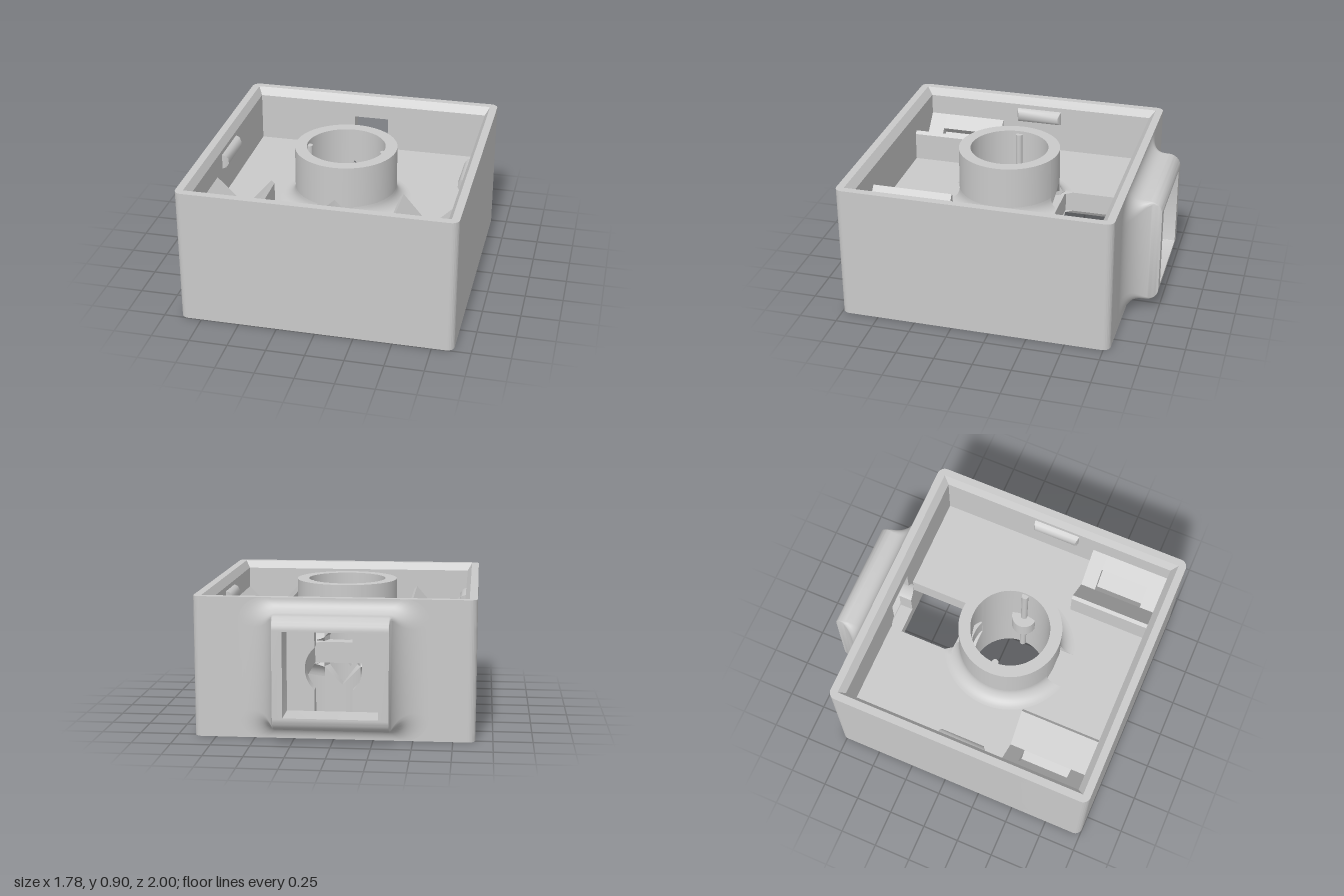
import * as THREE from 'three';
import { toCreasedNormals } from 'three/addons/utils/BufferGeometryUtils.js';

const CZ = 0.1;                       // z of the tube axis
const OUT = [0.89, -0.79, 1.0];       // half width, back z, front z
const RIM = [0.84, -0.74, 0.95];
const IN = [0.81, -0.7, 0.91];
const FLOOR_LOW = 0.38, FLOOR_TOP = 0.52, POCKET_LOW = 0.47;
const GAP = 0.3;                      // half width of the panel in the back wall

// Joins equal loops of points with quads; caps fan out from the first point
function loft(sections, caps = false) {
  const pos = [];
  const tri = (...pts) => pts.forEach(p => pos.push(...p));
  for (let i = 0; i + 1 < sections.length; i++) {
    const s = sections[i], t = sections[i + 1], n = s.length;
    for (let j = 0; j < n; j++) {
      const k = (j + 1) % n;
      tri(s[j], s[k], t[k], s[j], t[k], t[j]);
    }
  }
  if (caps) {
    const a = sections[0], b = sections[sections.length - 1];
    for (let j = 1; j + 1 < a.length; j++) {
      tri(a[0], a[j + 1], a[j]);
      tri(b[0], b[j], b[j + 1]);
    }
  }
  const g = new THREE.BufferGeometry();
  g.setAttribute('position', new THREE.Float32BufferAttribute(pos, 3));
  return toCreasedNormals(g, 0.6);
}

// Plan shapes use (x, -z) and are extruded upward
function rise(shape, y0, y1) {
  const g = new THREE.ExtrudeGeometry(shape, { depth: y1 - y0, bevelEnabled: false, curveSegments: 32 });
  return toCreasedNormals(g.rotateX(-Math.PI / 2).translate(0, y0, 0), 0.6);
}

const rectPoints = ([w, b, f]) => [[-w, -f], [w, -f], [w, -b], [-w, -b]].map(p => new THREE.Vector2(...p));
const path = (pts) => new THREE.Path(pts.map(p => new THREE.Vector2(...p)));

// Outer outline with rounded corners; a gap leaves the back wall open
function wallShape(inner, gap = 0) {
  const [w, b, f] = OUT, r = 0.05, s = new THREE.Shape();
  s.moveTo(-gap, -b);
  s.lineTo(-w + r, -b);
  s.absarc(-w + r, -b - r, r, Math.PI / 2, Math.PI, false);
  s.absarc(-w + r, -f + r, r, Math.PI, Math.PI * 1.5, false);
  s.absarc(w - r, -f + r, r, Math.PI * 1.5, Math.PI * 2, false);
  s.absarc(w - r, -b - r, r, 0, Math.PI / 2, false);
  s.lineTo(gap, -b);
  if (gap) {
    const [iw, ib, fr] = inner;
    [[gap, -ib], [iw, -ib], [iw, -fr], [-iw, -fr], [-iw, -ib], [-gap, -ib]].forEach(p => s.lineTo(...p));
  } else s.holes.push(new THREE.Path(rectPoints(inner)));
  return s;
}

// Middle floor with a round opening and a slot from the back edge
function floorShape() {
  const s = new THREE.Shape([[-0.82, -0.92], [0.82, -0.92], [0.82, 0.7], [0.18, 0.7], [0.18, 0.25],
    [-0.18, 0.25], [-0.18, 0.7], [-0.82, 0.7]].map(p => new THREE.Vector2(...p)));
  s.holes.push(new THREE.Path().absarc(0, -CZ, 0.262, 0, Math.PI * 2, true));
  return s;
}

export function createModel() {
  const model = new THREE.Group();
  const grey = new THREE.MeshStandardMaterial({ color: 0xcacaca, side: THREE.DoubleSide });
  grey.name = 'grey plastic';
  const add = (name, geometry) => {
    const m = new THREE.Mesh(geometry, grey);
    m.name = name;
    model.add(m);
    return m;
  };

  // Housing walls
  add('lowerWalls', rise(wallShape(IN), 0.05, 0.1));
  add('middleWalls', rise(wallShape(IN, GAP), 0.1, 0.8));
  add('upperWalls', rise(wallShape(IN), 0.8, 0.85));

  // Back wall panel with a tall cable opening that bulges into a circle
  const panel = new THREE.Shape([[-GAP, 0.1], [GAP, 0.1], [GAP, 0.8], [-GAP, 0.8]].map(p => new THREE.Vector2(...p)));
  const opening = new THREE.Path(), bulge = Math.acos(0.12 / 0.18);
  opening.moveTo(-0.12, 0.15);
  opening.lineTo(0.12, 0.15);
  opening.absarc(0, 0.45, 0.18, -bulge, bulge, false);
  opening.lineTo(0.12, 0.75);
  opening.lineTo(-0.12, 0.75);
  opening.absarc(0, 0.45, 0.18, Math.PI - bulge, Math.PI + bulge, false);
  panel.holes.push(opening);
  const panelGeometry = new THREE.ExtrudeGeometry(panel, { depth: 0.09, bevelEnabled: false, curveSegments: 24 });
  add('backPanel', toCreasedNormals(panelGeometry.translate(0, 0, OUT[1]), 0.6));

  // Thinner rims with an inner bevel, top and bottom
  for (const [name, low, high, lip, deep] of [['top', 0.85, 0.9, 0.9, 0.85], ['bottom', 0, 0.05, 0, 0.05]]) {
    add(name + 'Rim', rise(wallShape(RIM), low, high));
    add(name + 'Bevel', loft([[IN, deep], [RIM, lip]].map(([r, y]) => rectPoints(r).map(p => [p.x, y, -p.y]))));
  }

  // Floor in two layers, the upper one recessed under the cradle pockets
  const upperFloor = floorShape();
  for (const s of [-1, 1])
    upperFloor.holes.push(path([[s * 0.62, -0.47], [s * 0.73, -0.47], [s * 0.73, -0.8], [s * 0.62, -0.8]]));
  add('lowerFloor', rise(floorShape(), FLOOR_LOW, POCKET_LOW));
  add('upperFloor', rise(upperFloor, POCKET_LOW, FLOOR_TOP));

  // Central tube with gabled passages at front and back
  const RO = 0.338, RI = 0.26, HALF = Math.asin(0.12 / RO);
  const tubePart = (name, a0, a1, low, high) => {
    const n = 24, sections = [];
    for (let i = 0; i <= n; i++) {
      const a = a0 + (a1 - a0) * i / n, x = Math.abs(RO * Math.sin(a));
      const at = (r, y) => [r * Math.sin(a), y, CZ + r * Math.cos(a)];
      sections.push([at(RI, low(x)), at(RO, low(x)), at(RO, high(x)), at(RI, high(x))]);
    }
    add(name, loft(sections, true));
  };
  for (const mid of [0, Math.PI]) {
    const end = mid ? 'back' : 'front';
    tubePart(end + 'TubeTop', mid - HALF, mid + HALF, x => 0.67 - x, () => 0.9);
    tubePart(end + 'TubeBottom', mid - HALF, mid + HALF, () => 0, x => 0.23 + x);
    tubePart(mid ? 'rightTubeSide' : 'leftTubeSide', mid + HALF, mid + Math.PI - HALF, () => 0, () => 0.9);
  }

  // Fillets between tube and floor, cut straight at the passages and the slot
  const slotCut = r => r < 0.37 ? 0.12 : Math.min(0.18, Math.sqrt(r * r - 0.35 * 0.35));
  for (const [name, y, dir] of [['Top', FLOOR_TOP, 1], ['Bottom', FLOOR_LOW, -1]]) {
    const profile = [[RO, y]];
    for (let i = 0; i <= 10; i++) {
      const t = i / 10 * Math.PI / 2, r = 0.1;
      profile.push([RO + r - r * Math.sin(t), y + dir * (r - r * Math.cos(t))]);
    }
    for (const s of [-1, 1]) {
      const sections = [];
      for (let i = 0; i <= 32; i++) {
        sections.push(profile.map(([r, h]) => {
          const from = Math.asin(0.12 / r), to = Math.PI - Math.asin(slotCut(r) / r);
          const a = from + (to - from) * i / 32;
          return [s * r * Math.sin(a), h, CZ + r * Math.cos(a)];
        }));
      }
      add((s > 0 ? 'left' : 'right') + name + 'Fillet', loft(sections, true));
    }
  }

  for (const s of [-1, 1]) {
    const side = s > 0 ? 'left' : 'right';

    // Half-round lugs inside the tube at floor level, with a thin full-height rib
    const lug = new THREE.Shape().absarc(s * 0.252, -CZ, 0.083, 0, Math.PI * 2, false);
    add(side + 'Lug', rise(lug, FLOOR_LOW, FLOOR_TOP));
    const rib = add(side + 'Rib', new THREE.CylinderGeometry(0.022, 0.022, 0.86, 16));
    rib.position.set(s * 0.25, 0.45, CZ);

    // Tapered snap ridges on the side walls
    for (const y of [0.13, 0.77]) {
      const ridge = [[0.81, 0.05, 0.16], [0.785, 0.04, 0.155], [0.77, 0.018, 0.145]].map(([x, h, l]) =>
        [[-h, -l], [-h, l], [h, l], [h, -l]].map(([dy, dz]) => [s * x, y + dy, CZ + dz]));
      add(side + 'SnapRidge', loft(ridge, true));
    }

    // V-shaped cradles in the front corners, with a pocket sunk square into the outer slope
    const prism = (name, pts, z0, z1) => {
      const shape = new THREE.Shape(pts.map(([x, y]) => new THREE.Vector2(s * x, y)));
      const g = new THREE.ExtrudeGeometry(shape, { depth: z1 - z0, bevelEnabled: false });
      add(side + name, g.translate(0, 0, z0));
    };
    const slope = [[0.62, 0.52], [0.81, 0.71], [0.81, 0.52]];
    const pocket = [[0.67, 0.47], [0.78, 0.58], [0.73, 0.63], [0.81, 0.71], [0.81, 0.47]];
    prism('CradleInner', [[0.62, 0.52], [0.44, 0.73], [0.42, 0.71], [0.42, 0.52]], 0.37, 0.91);
    prism('CradleRear', slope, 0.37, 0.47);
    prism('CradlePocket', pocket, 0.47, 0.8);
    prism('CradlePocketLip', [[0.62, 0.52], [0.67, 0.47], [0.62, 0.47]], 0.47, 0.8);
    prism('CradleFront', slope, 0.8, 0.91);
  }

  // Flared collar around the cable opening, its corners softening toward the wall
  const collar = [];
  const frame = (z, w, h, r) => {
    const loop = [];
    [[1, 1], [-1, 1], [-1, -1], [1, -1]].forEach(([sx, sy], q) => {
      for (let i = 0; i <= 6; i++) {
        const a = (q + i / 6) * Math.PI / 2;
        loop.push([sx * (w - r) + r * Math.cos(a), 0.45 + sy * (h - r) + r * Math.sin(a), z]);
      }
    });
    collar.push(loop);
  };
  const arc = (d, r) => Math.sqrt(Math.max(0, r * r - d * d));
  const N = 28;
  for (let i = 0; i <= N; i++) {
    const z = -0.895 + 0.105 * Math.cos(Math.PI * i / N);   // denser near both ends
    const s = (z + 1) / 0.21;
    let h = 0.36;
    if (z > -0.88) h = 0.45 - arc(z + 0.88, 0.09);
    if (z < -0.92) h = 0.28 + arc(z + 0.92, 0.08);
    frame(z, 0.6 - 0.24 * arc(s, 1), h, 0.004 + 0.15 * s * s);
  }
  frame(-1, 0.295, 0.27, 0.002);
  frame(-0.79, 0.295, 0.27, 0.002);
  add('cableCollar', loft(collar));

  return model;
}
